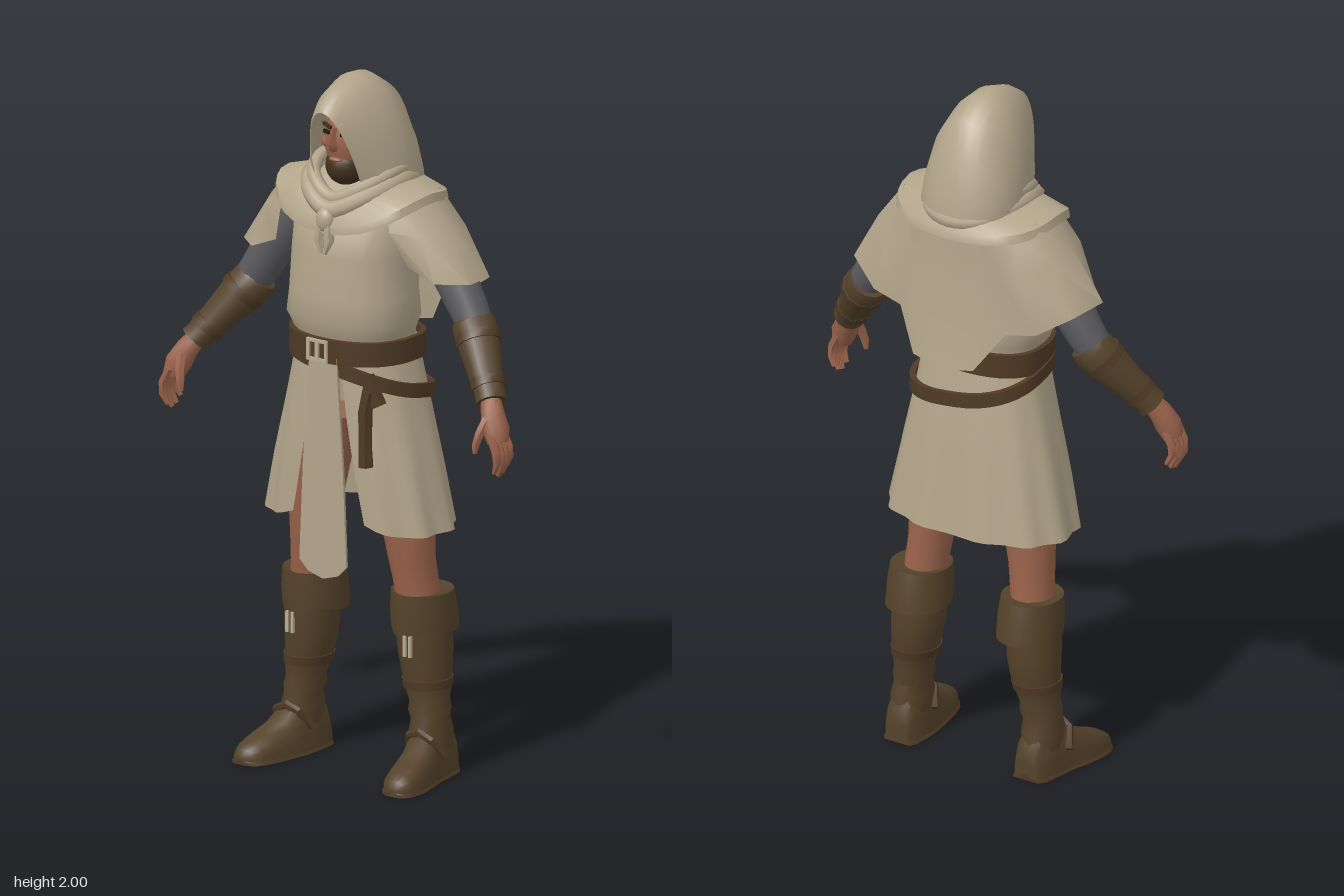
import * as THREE from 'three';
import { toCreasedNormals } from 'three/addons/utils/BufferGeometryUtils.js';

const V = (x, y, z) => new THREE.Vector3(x, y, z);
const mat = (name, color, side = THREE.FrontSide) => {
  const m = new THREE.MeshStandardMaterial({ color, side });
  m.name = name;
  return m;
};

// Skin a list of point rings; closed solids are turned to face outward.
function loft(rings, { closed = true, caps = true, crease = 0.75 } = {}) {
  const n = rings[0].length, pts = rings.flat(), idx = [];
  const last = rings.length - 1, m = closed ? n : n - 1;
  for (let i = 0; i < last; i++) for (let j = 0; j < m; j++) {
    const a = i * n + j, b = i * n + (j + 1) % n;
    idx.push(a, b, b + n, a, b + n, a + n);
  }
  if (closed && caps) for (const i of [0, last]) {
    const c = pts.push(rings[i].reduce((s, p) => s.add(p), V(0, 0, 0)).divideScalar(n)) - 1;
    for (let j = 0; j < n; j++) {
      const a = i * n + j, b = i * n + (j + 1) % n;
      if (i) idx.push(c, a, b); else idx.push(c, b, a);
    }
  }
  let vol = 0;
  for (let k = 0; k < idx.length; k += 3)
    vol += pts[idx[k]].dot(V(0, 0, 0).crossVectors(pts[idx[k + 1]], pts[idx[k + 2]]));
  if (vol < 0) idx.reverse();
  const g = new THREE.BufferGeometry().setFromPoints(pts);
  g.setIndex(idx);
  return toCreasedNormals(g, crease);
}

// Egg-shaped outline: angle 0 is the front, a quarter turn is +x.
const egg = (t, y, w, zf, zb, cx = 0, p = 0.85) => {
  const s = Math.sin(t), c = Math.cos(t), q = v => Math.sign(v) * Math.abs(v) ** p;
  return V(cx + w * q(s), y, c > 0 ? zf * q(c) : -zb * q(c));
};
const around = (n, f) => Array.from({ length: n }, (_, i) => f(i / n * Math.PI * 2));
// Upright body from [y, halfWidth, zFront, zBack, centreX]
const stack = (rows, n = 20, p) => loft(rows.map(([y, w, f, b, cx = 0]) =>
  around(n, t => { const q = egg(t, y, w, 1, -1, 0, p); return V(cx + q.x, y, (f + b) / 2 + q.z * (f - b) / 2); })));
// Round limb along [x, y, z, radius] points
function limb(path, n = 10) {
  const P = path.map(p => V(p[0], p[1], p[2]));
  return loft(path.map((p, i) => {
    const t = P[Math.min(i + 1, P.length - 1)].clone().sub(P[Math.max(i - 1, 0)]).normalize();
    const a = t.clone().cross(V(0, 0, 1)).normalize(), b = t.clone().cross(a);
    return around(n, k => P[i].clone().addScaledVector(a, p[3] * Math.cos(k)).addScaledVector(b, p[3] * Math.sin(k)));
  }));
}
// Flat strap with real thickness following point(angle, height, outward offset)
const strap = (point, h, th, n = 40) => {
  const rings = around(n, t => [[-h, 0], [-h, th], [h, th], [h, 0]].map(([y, o]) => point(t, y, o)));
  return loft([...rings, rings[0]], { caps: false, crease: 0.5 });
};

const SKIRT = [[1.25, 0.17, 0.155, -0.105], [1.05, 0.212, 0.163, -0.135], [0.9, 0.247, 0.168, -0.152], [0.715, 0.285, 0.165, -0.172]];
function skirtAt(y) {
  let i = 0;
  while (i < SKIRT.length - 2 && y < SKIRT[i + 1][0]) i++;
  const A = SKIRT[i], B = SKIRT[i + 1], k = (A[0] - y) / (A[0] - B[0]);
  return A.map((v, j) => v + (B[j] - v) * k);
}

export function createModel() {
  const root = new THREE.Group();
  const cloth = mat('cream cloth', 0xb3a58b, THREE.DoubleSide);
  const leather = mat('brown leather', 0x54422a);
  const strapLeather = mat('belt leather', 0x4f3a25);
  const skin = mat('skin', 0x9a634b);
  const grey = mat('grey sleeve', 0x5b5b60);
  const hair = mat('dark beard', 0x42301f);
  const dark = mat('eye dark', 0x241a15);
  const metal = mat('pale metal', 0xb9ac92);
  const add = (name, geo, m, parent = root) => {
    const o = new THREE.Mesh(geo, m);
    o.name = name;
    parent.add(o);
    return o;
  };
  const ball = (name, m, x, y, z, a, b, c, parent) => {
    const o = add(name, new THREE.SphereGeometry(1, 18, 14), m, parent);
    o.position.set(x, y, z); o.scale.set(a, b, c);
    return o;
  };
  const box = (name, m, x, y, z, a, b, c, rz = 0, parent) => {
    const o = add(name, new THREE.BoxGeometry(a, b, c), m, parent);
    o.position.set(x, y, z); o.rotation.z = rz;
    return o;
  };

  // Tunic
  add('tunic', stack([[1.22, 0.165, 0.15, -0.1], [1.275, 0.176, 0.168, -0.108], [1.31, 0.192, 0.183, -0.115],
    [1.38, 0.183, 0.18, -0.115], [1.5, 0.177, 0.175, -0.12], [1.6, 0.175, 0.16, -0.125], [1.66, 0.14, 0.11, -0.12], [1.7, 0.08, 0.08, -0.09]]), cloth);

  // Pleated skirt, open at the front
  const rows = Array.from({ length: 8 }, (_, i) => {
    const v = i / 7, [y, w, f, b] = skirtAt(1.25 - 0.535 * v), gap = 0.16 + 0.22 * v;
    return Array.from({ length: 49 }, (_, j) => {
      const t = gap + (Math.PI * 2 - 2 * gap) * j / 48, k = 1 + 0.03 * v * Math.cos(t * 11);
      const lift = 0.06 * v * v * Math.max(0, Math.cos(t)) ** 10;
      return egg(t, y + lift, w * k, f * k, b * k);
    });
  });
  add('skirt', loft(rows, { closed: false }), cloth);

  // Pointed front panel
  const panel = new THREE.Shape([[-0.045, 1.23], [-0.068, 0.9], [-0.08, 0.62], [-0.05, 0.59], [0, 0.575], [0.05, 0.59], [0.08, 0.62], [0.068, 0.9], [0.045, 1.23]]
    .map(p => new THREE.Vector2(...p)));
  add('frontPanel', new THREE.ExtrudeGeometry(panel, { depth: 0.008, bevelEnabled: false }), cloth).position.z = 0.172;

  // Belts, buckle and hanging holder
  add('belt', strap((t, y, o) => egg(t, 1.232 + y, 0.178 + o, 0.168 + o, -0.112 - o), 0.034, 0.015), strapLeather);
  add('slungBelt', strap((t, y, o) => {
    const h = 1.15 + 0.055 * Math.cos(t + Math.PI / 4), [, w, f, b] = skirtAt(h);
    return egg(t, h + y, w + o, f + o + 0.003, b - o);
  }, 0.02, 0.016), strapLeather);
  for (const [dx, dy, a, b] of [[0, 0.027, 0.07, 0.009], [0, -0.027, 0.07, 0.009], [0.03, 0, 0.009, 0.06], [-0.03, 0, 0.009, 0.06], [0, 0, 0.012, 0.05]])
    box('buckle', metal, -0.015 + dx, 1.232 + dy, 0.185, a, b, 0.009);
  box('holderStrap', strapLeather, 0.16, 1.14, 0.165, 0.035, 0.09, 0.025, 0.5);
  add('holder', limb([[0.15, 1.14, 0.165, 0.024], [0.138, 1.08, 0.17, 0.022], [0.137, 0.98, 0.17, 0.02], [0.14, 0.92, 0.17, 0.022]], 6), strapLeather);

  // Shoulder cape: top, middle and hem at stations from front to back, mirrored
  const half = [
    [[0.165, 1.66, 0.1], [0.185, 1.59, 0.125], [0.225, 1.49, 0.09]],
    [[0.2, 1.675, 0.07], [0.265, 1.58, 0.085], [0.31, 1.455, 0.088]],
    [[0.225, 1.685, 0], [0.305, 1.59, 0], [0.385, 1.45, 0.02]],
    [[0.22, 1.68, -0.07], [0.29, 1.58, -0.09], [0.365, 1.44, -0.1]],
    [[0.18, 1.67, -0.12], [0.22, 1.56, -0.155], [0.27, 1.38, -0.142]],
    [[0.13, 1.665, -0.15], [0.15, 1.52, -0.145], [0.175, 1.36, -0.15]],
    [[0.08, 1.66, -0.16], [0.1, 1.48, -0.168], [0.1, 1.25, -0.198]],
    [[0, 1.66, -0.165], [0, 1.48, -0.165], [0, 1.23, -0.205]]];
  const toRow = s => st => st.map(([x, y, z]) => V(s * x, y, z));
  add('shoulderCape', loft([...half.map(toRow(1)), ...half.slice(0, -1).reverse().map(toRow(-1))], { closed: false, crease: 0.9 }), cloth);

  // Wide collar
  const collar = (w, f, b, y, drop) => around(32, t => {
    const c = Math.cos(t);
    return egg(t, y - drop * (c > 0 ? c * c : -0.4 * c), w, f, b);
  });
  add('collar', loft([collar(0.09, 0.09, -0.12, 1.71, 0.02), collar(0.17, 0.15, -0.16, 1.705, 0.06),
    collar(0.245, 0.178, -0.185, 1.685, 0.09), collar(0.25, 0.18, -0.19, 1.66, 0.09)], { caps: false }), cloth);

  // Scarf folds and knot
  [[0, 0.026], [0.03, 0.02]].forEach(([d, r]) => {
    const pts = [[0, 1.63, 0.15], [0.1, 1.675, 0.105], [0.135, 1.705, 0], [0.09, 1.68, -0.125], [0, 1.67, -0.16], [-0.09, 1.68, -0.125], [-0.135, 1.705, 0], [-0.1, 1.675, 0.105]]
      .map(([x, y, z]) => V(x * (1 - 2 * d), y + d, z * (1 - 4 * d)));
    add('scarfFold', new THREE.TubeGeometry(new THREE.CatmullRomCurve3(pts, true), 40, r, 8, true), cloth);
  });
  ball('scarfKnot', cloth, 0, 1.605, 0.168, 0.028, 0.035, 0.022);
  for (const s of [-1, 1])
    add('scarfTail', limb([[s * 0.012, 1.6, 0.172, 0.012], [s * 0.018, 1.55, 0.175, 0.016], [s * 0.006, 1.51, 0.178, 0.005]], 6), cloth);

  // Hood arches from the rim to the nape: halfWidth, top y, top z, bottom y, bottom z
  const arches = [[0.078, 1.918, 0.187, 1.685, 0.1], [0.09, 1.935, 0.175, 1.68, 0.09], [0.118, 1.972, 0.12, 1.675, 0.07], [0.138, 1.998, 0.04, 1.67, 0.03],
    [0.147, 1.992, -0.02, 1.665, 0], [0.15, 1.945, -0.095, 1.66, -0.03], [0.148, 1.85, -0.138, 1.655, -0.06], [0.142, 1.74, -0.172, 1.65, -0.08], [0.125, 1.68, -0.178, 1.645, -0.1], [0.1, 1.66, -0.15, 1.645, -0.09]];
  add('hood', loft(arches.map(([w, ty, tz, by, bz]) => Array.from({ length: 21 }, (_, j) => {
    const a = j / 20 * Math.PI, h = Math.sin(a);
    return V(w * Math.cos(a), by + (ty - by) * h, bz + (tz - bz) * h);
  })), { closed: false, crease: 1 }), cloth);

  // Head
  const head = new THREE.Group();
  head.name = 'head';
  root.add(head);
  ball('face', skin, 0, 1.815, 0.04, 0.072, 0.115, 0.088, head);
  ball('beard', hair, 0, 1.742, 0.06, 0.06, 0.06, 0.07, head);
  ball('mouth', skin, 0, 1.768, 0.118, 0.022, 0.007, 0.014, head);
  add('nose', loft([[1.86, 0.009, 0.132], [1.825, 0.012, 0.148], [1.803, 0.019, 0.152], [1.792, 0.014, 0.138]]
    .map(([y, w, z]) => [V(-w, y, 0.11), V(0, y, z), V(w, y, 0.11)])), skin, head);
  for (const s of [-1, 1]) {
    box('eye', dark, s * 0.03, 1.842, 0.118, 0.026, 0.01, 0.009, 0, head).rotation.y = s * 0.35;
    box('brow', hair, s * 0.03, 1.86, 0.117, 0.036, 0.009, 0.009, s * 0.2, head).rotation.y = s * 0.35;
    ball('cheek', skin, s * 0.038, 1.808, 0.095, 0.022, 0.02, 0.022, head);
  }

  // Arms and legs, once for each side
  for (const s of [1, -1]) {
    const tag = s > 0 ? 'left' : 'right';
    const arm = new THREE.Group(), leg = new THREE.Group();
    arm.name = tag + 'Arm'; leg.name = tag + 'Leg';
    root.add(arm, leg);
    const tube = (name, path, m, n) => add(name, limb(path.map(([x, y, z, r]) => [s * x, y, z, r]), n), m, arm);
    tube('sleeve', [[0.17, 1.62, -0.03, 0.05], [0.23, 1.55, -0.03, 0.066], [0.3, 1.45, -0.025, 0.062], [0.35, 1.37, -0.02, 0.056], [0.39, 1.31, -0.01, 0.05]], grey, 14);
    tube('bracer', [[0.365, 1.335, -0.02, 0.058], [0.375, 1.32, -0.015, 0.064], [0.41, 1.275, 0.01, 0.06], [0.455, 1.215, 0.045, 0.05], [0.495, 1.165, 0.075, 0.043], [0.505, 1.15, 0.083, 0.045]], leather, 12);
    for (const [x, y, z, r] of [[0.4, 1.29, 0.002, 0.065], [0.475, 1.19, 0.06, 0.05]])
      tube('bracerStrap', [[x - 0.007, y + 0.01, z - 0.005, r], [x + 0.007, y - 0.01, z + 0.005, r]], strapLeather, 12);
    tube('palm', [[0.495, 1.165, 0.078, 0.028], [0.52, 1.125, 0.1, 0.033], [0.54, 1.085, 0.112, 0.038], [0.553, 1.05, 0.118, 0.03]], skin, 10);
    for (let i = 0; i < 4; i++) {
      const z = 0.087 + i * 0.02, l = [0.85, 1, 1.05, 0.95][i];
      tube('finger', [[0.547, 1.075, z, 0.012], [0.567, 1.075 - 0.045 * l, z + 0.002, 0.013], [0.569, 1.075 - 0.08 * l, z, 0.011], [0.555, 1.075 - 0.112 * l, z - 0.006, 0.007]], skin, 6);
    }
    tube('thumb', [[0.52, 1.115, 0.125, 0.016], [0.51, 1.075, 0.148, 0.014], [0.503, 1.045, 0.155, 0.012], [0.5, 1.02, 0.156, 0.007]], skin, 6);

    const legPart = (name, list, m) => add(name, stack(list.map(([y, cx, w, f, b]) => [y, w, f, b, s * cx]), 16, 1), m, leg);
    legPart('bareLeg', [[0.44, 0.185, 0.06, 0.04, -0.09], [0.55, 0.175, 0.06, 0.05, -0.085], [0.62, 0.167, 0.062, 0.063, -0.08], [0.74, 0.155, 0.073, 0.08, -0.085], [1, 0.105, 0.09, 0.1, -0.09]], skin);
    legPart('boot', [[0.06, 0.22, 0.05, 0.04, -0.1], [0.13, 0.218, 0.056, 0.045, -0.1], [0.165, 0.216, 0.051, 0.033, -0.088], [0.19, 0.212, 0.057, 0.036, -0.095], [0.215, 0.21, 0.053, 0.03, -0.093],
      [0.25, 0.205, 0.061, 0.036, -0.102], [0.3, 0.198, 0.068, 0.04, -0.113], [0.36, 0.193, 0.075, 0.047, -0.118], [0.46, 0.188, 0.076, 0.05, -0.11]], leather);
    legPart('bootStrap', [[0.255, 0.204, 0.066, 0.042, -0.108], [0.28, 0.201, 0.069, 0.044, -0.112]], strapLeather);

    // Turned-down cuff with a pointed front
    const cuff = [[0.525, 0.07, 0.045, -0.1], [0.53, 0.085, 0.06, -0.125], [0.48, 0.09, 0.062, -0.138], [0.415, 0.09, 0.058, -0.148], [0.42, 0.078, 0.045, -0.125]];
    add('bootCuff', loft(cuff.map(([y, w, f, b], i) => around(24, t => {
      const q = egg(t, y, w, 1, -1, s * 0.185, 1);
      const tip = i > 2 ? 0.035 * Math.max(0, Math.cos(t * 2)) * (Math.cos(t) > 0 ? 1 : 0) : 0;
      return V(q.x, y - tip + (i > 2 ? 0.02 : 0) * Math.max(0, Math.cos(t)), (f + b) / 2 + q.z * (f - b) / 2);
    }))), leather, leg);
    for (const dx of [-0.009, 0.009]) box('lacePlate', metal, s * 0.2 + dx, 0.385, 0.058, 0.009, 0.06, 0.009, 0, leg);

    // Foot swept from heel to toe: z, centre x, half width, height
    const foot = [[-0.11, 0.215, 0.038, 0.08], [-0.09, 0.217, 0.05, 0.13], [-0.03, 0.22, 0.056, 0.15], [0.025, 0.225, 0.057, 0.14], [0.07, 0.235, 0.059, 0.1],
      [0.13, 0.246, 0.058, 0.075], [0.175, 0.252, 0.05, 0.058], [0.2, 0.256, 0.035, 0.042], [0.21, 0.258, 0.015, 0.025]];
    const shoe = (grow, cap) => loft(foot.map(([z, cx, w, h]) => Array.from({ length: 11 }, (_, j) => {
      const a = j / 10 * Math.PI;
      return V(s * cx + (w + grow) * Math.sign(Math.cos(a)) * Math.abs(Math.cos(a)) ** 0.7, Math.min(cap, h) * Math.sin(a) ** 0.8, z);
    })));
    add('shoe', shoe(0, 1), leather, leg);
    add('sole', shoe(0.004, 0.016), strapLeather, leg);
    add('ankleStrap', limb([[s * 0.165, 0.075, 0.0, 0.012], [s * 0.19, 0.125, 0.035, 0.012], [s * 0.225, 0.138, 0.04, 0.012], [s * 0.262, 0.12, 0.035, 0.012], [s * 0.285, 0.07, 0.0, 0.012]], 6), strapLeather, leg);
  }
  return root;
}
